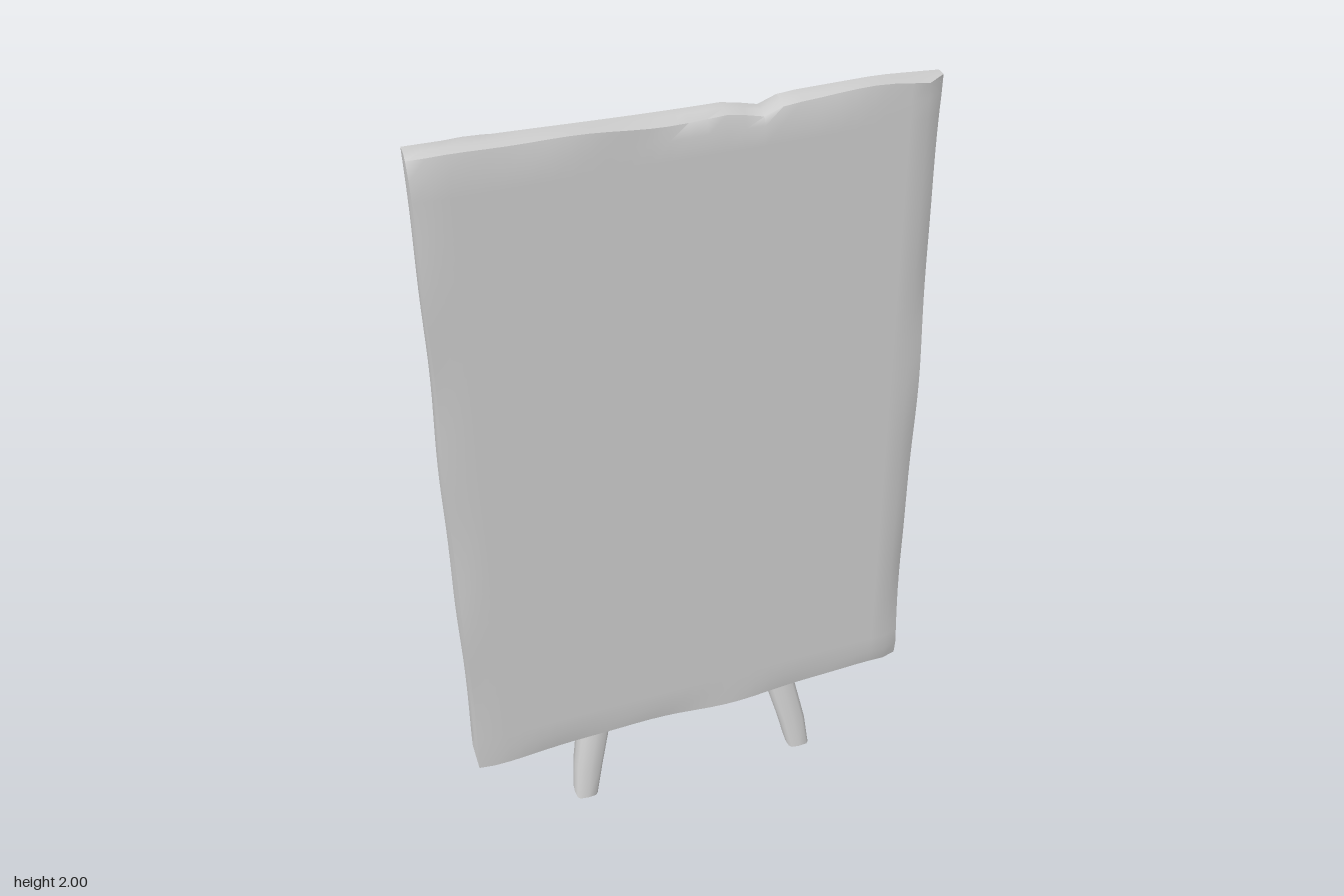
import * as THREE from 'three';
import { mergeVertices, toCreasedNormals } from 'three/addons/utils/BufferGeometryUtils.js';

const lerp = THREE.MathUtils.lerp;

// Join the seams, then smooth everything but the sharp edges.
function smooth(geo, crease) {
  geo.deleteAttribute('uv');
  geo.deleteAttribute('normal');
  return toCreasedNormals(mergeVertices(geo, 1e-4), crease);
}

// Worn slab: wavy, chamfered rim; leans back and turns slightly.
function boardGeometry() {
  const geo = new THREE.BoxGeometry(2, 2, 2, 28, 36, 3);
  const p = geo.attributes.position;
  const wear = (a, k) => 0.5 + 0.3 * Math.sin(a * 5.3 + k) + 0.2 * Math.sin(a * 11.7 + k * 2.3);
  for (let i = 0; i < p.count; i++) {
    const u = p.getX(i), v = p.getY(i), t = p.getZ(i);
    const a = (u + 1) / 2, b = (v + 1) / 2, d = (t + 1) / 2;
    const front = lerp(lerp(0.255, 0.208, a), lerp(0.155, 0.118, a), b);
    let back = lerp(lerp(0.085, 0.068, a), lerp(0.062, 0.042, a), Math.min(1, b * 1.5));
    back += 0.035 * Math.max(0, 1 - b * 8);
    let x = 0.62 * u - 0.006 * u * (1 - b);
    let y = lerp(0.25, 1.995, b);
    let z = lerp(back, front, d);
    // chamfers around the rim
    const sideRim = Math.abs(u) > 0.999, endRim = Math.abs(v) > 0.999;
    if (t < -0.99) {
      if (sideRim) { z += 0.015 + 0.02 * wear(v, 1 + u); x -= u * 0.008; }
      if (endRim) { z += 0.015 + 0.02 * wear(u, v); y -= v * 0.02 * wear(u, 3); }
    }
    if (t > 0.99) {
      if (sideRim) z -= u > 0 ? 0.012 + 0.016 * wear(v, 4) : 0.008 * wear(v, 2);
      if (endRim) { z -= 0.012 * wear(u, 5 + v); if (v > 0) y -= 0.014 * wear(u, 1); }
    }
    if (sideRim) x -= u * 0.008 * wear(v, 2 + 3 * u);
    // uneven top edge with a small notch
    if (v > 0.999) y += 0.005 * Math.cos(u * 3 + 3) - 0.022 * Math.max(0, 1 - Math.abs(x - 0.17) / 0.06) - 0.012 * Math.max(0, (u - 0.75) * 4);
    if (v < -0.999) y -= 0.006 * Math.sin(u * 6);
    p.setXYZ(i, x, Math.min(y, 2), z);
  }
  return smooth(geo, 0.75);
}

// Rounded-rectangle limb through stations [x, y, z, width, depth], listed bottom to top.
// Sections lie flat for legs; for the crossbar they stand across x.
function limbGeometry(stations, alongX = false) {
  const n = stations.length - 1;
  const geo = new THREE.CylinderGeometry(1, 1, n, 12, n);
  const p = geo.attributes.position;
  const square = (c) => Math.sign(c) * Math.pow(Math.abs(c), 0.5) / 2;
  for (let i = 0; i < p.count; i++) {
    const [x, y, z, w, d] = stations[Math.round(p.getY(i) + n / 2)];
    const a = square(p.getX(i)) * w, b = square(p.getZ(i)) * d;
    if (alongX) p.setXYZ(i, x, y - a, z + b);
    else p.setXYZ(i, x + a, y, z + b);
  }
  return smooth(geo, 0.8);
}

export function createModel() {
  const group = new THREE.Group();
  const grey = new THREE.MeshStandardMaterial({ color: 0xcccccc });
  grey.name = 'plain grey';
  const add = (name, geo) => {
    const mesh = new THREE.Mesh(geo, grey);
    mesh.name = name;
    group.add(mesh);
  };

  add('board', boardGeometry());

  // Front legs splay outward and fade into the back of the board
  for (const s of [1, -1]) {
    const legs = [
      [0.315, 0.01, 0.205, 0.062, 0.066],
      [0.3, 0.1, 0.185, 0.075, 0.07],
      [0.265, 0.25, 0.145, 0.085, 0.085],
      [0.21, 0.45, 0.088, 0.09, 0.09],
      [0.155, 0.65, 0.078, 0.085, 0.07],
      [0.12, 0.8, 0.08, 0.075, 0.05],
      [0.105, 0.9, 0.085, 0.04, 0.02],
    ].map(([x, ...rest]) => [s * x, ...rest]);
    add(s > 0 ? 'leftFrontLeg' : 'rightFrontLeg', limbGeometry(legs));
  }

  // Rear prop leg
  add('rearLeg', limbGeometry([
    [0.012, 0, -0.228, 0.07, 0.054],
    [0.012, 0.12, -0.203, 0.078, 0.062],
    [0.012, 0.45, -0.12, 0.08, 0.068],
    [0.012, 0.72, -0.04, 0.08, 0.07],
    [0.012, 0.95, 0.015, 0.08, 0.062],
    [0.01, 1.2, 0.03, 0.075, 0.05],
    [0.005, 1.4, 0.048, 0.065, 0.04],
    [0, 1.53, 0.06, 0.04, 0.02],
  ]));

  // Bowed brace between the front legs
  add('crossbar', limbGeometry([
    [-0.25, 0.275, 0.13, 0.06, 0.06],
    [-0.14, 0.272, 0.06, 0.06, 0.06],
    [-0.03, 0.27, -0.005, 0.058, 0.055],
    [0.06, 0.27, -0.005, 0.058, 0.055],
    [0.14, 0.272, 0.06, 0.06, 0.06],
    [0.25, 0.275, 0.13, 0.06, 0.06],
  ], true));

  return group;
}
